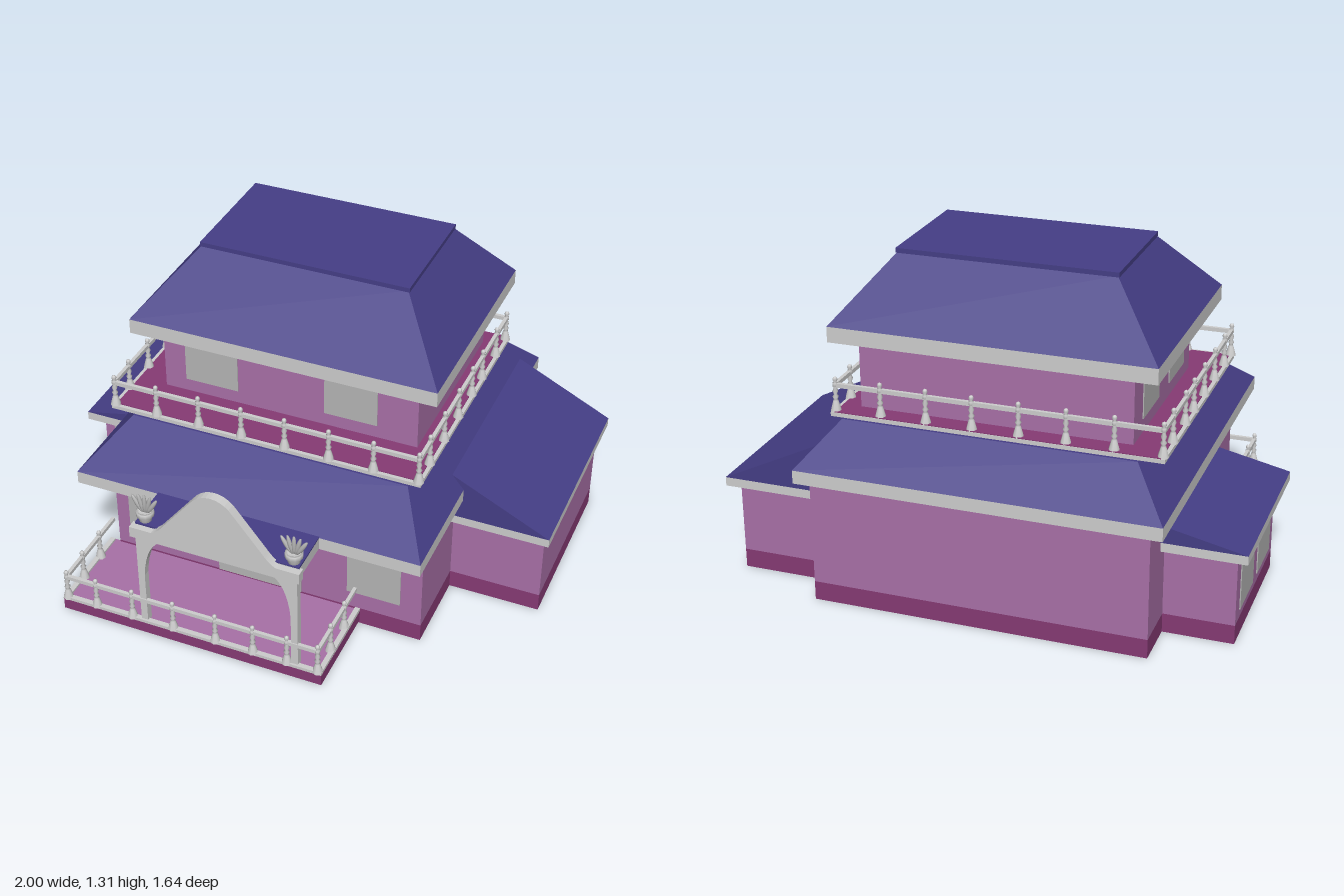
import * as THREE from 'three';

const mat = (name, color, side = THREE.FrontSide) => {
  const m = new THREE.MeshStandardMaterial({ color, side });
  m.name = name;
  return m;
};

export function createModel() {
  const house = new THREE.Group();
  house.name = 'house';
  const roofBlue = mat('roof blue', 0x453e86);
  const wallPink = mat('wall pink', 0xa870a7);
  const baseMagenta = mat('base magenta', 0x863a74);
  const trim = mat('pale trim', 0xcdcdcd);
  const glass = mat('window grey', 0xb4b4b4);

  const add = (name, geo, material, parent = house) => {
    const m = new THREE.Mesh(geo, material);
    m.name = name;
    parent.add(m);
    return m;
  };
  // Box given by its limits
  const box = (name, m, x0, x1, y0, y1, z0, z1, parent) => {
    const b = add(name, new THREE.BoxGeometry(x1 - x0, y1 - y0, z1 - z0), m, parent);
    b.position.set((x0 + x1) / 2, (y0 + y1) / 2, (z0 + z1) / 2);
    return b;
  };
  // Sloped block: rectangle [x0,x1,z0,z1] at y0 to another rectangle at y1
  const hip = (name, m, y0, a, y1, b) => {
    const g = new THREE.BoxGeometry(1, 1, 1);
    const p = g.attributes.position;
    for (let i = 0; i < p.count; i++) {
      const top = p.getY(i) > 0;
      const r = top ? b : a;
      p.setXYZ(i, p.getX(i) < 0 ? r[0] : r[1], top ? y1 : y0, p.getZ(i) < 0 ? r[2] : r[3]);
    }
    g.computeVertexNormals();
    return add(name, g, m);
  };
  // Eaves board with a blue soffit under it
  const eaves = (name, y0, y1, [x0, x1, z0, z1]) => {
    box(name, trim, x0, x1, y0, y1, z0, z1);
    box(name + 'Soffit', roofBlue, x0 + 0.015, x1 - 0.015, y0 - 0.003, y0 + 0.003, z0 + 0.015, z1 - 0.015);
  };
  // Wall with a dark plinth
  const walls = (name, x0, x1, top, z0, z1) => {
    box(name + 'Plinth', baseMagenta, x0, x1, 0, 0.075, z0, z1);
    box(name + 'Walls', wallPink, x0, x1, 0.075, top, z0, z1);
  };

  // Ground floor and its two wings
  walls('main', -0.685, 0.605, 0.49, -0.785, 0.425);
  walls('leftWing', 0.6, 0.97, 0.375, -0.64, 0.085);
  walls('rightWing', -0.953, -0.68, 0.36, -0.59, 0.02);

  // Lower roofs
  const lower = [-0.737, 0.655, -0.82, 0.608];
  eaves('lowerEaves', 0.488, 0.54, lower);
  hip('lowerRoof', roofBlue, 0.54, lower, 0.7, [-0.6, 0.52, -0.665, 0.39]);
  eaves('leftWingEaves', 0.37, 0.405, [0.605, 1, -0.7, 0.138]);
  hip('leftWingRoof', roofBlue, 0.405, [0.5, 1, -0.7, 0.138], 0.6, [0.5, 0.6, -0.7, 0.138]);
  eaves('rightWingEaves', 0.355, 0.39, [-1, -0.685, -0.645, 0.077]);
  hip('rightWingRoof', roofBlue, 0.39, [-1, -0.67, -0.645, 0.077], 0.458, [-0.685, -0.67, -0.645, 0.077]);

  // Upper floor, balcony deck and top roof
  box('balconyDeck', trim, -0.695, 0.567, 0.703, 0.718, -0.66, 0.385);
  box('balconyFloor', baseMagenta, -0.68, 0.552, 0.714, 0.721, -0.657, 0.37);
  box('upperWalls', wallPink, -0.56, 0.48, 0.7, 0.99, -0.58, 0.185);
  const upper = [-0.66, 0.575, -0.645, 0.265];
  eaves('upperEaves', 0.985, 1.045, upper);
  hip('upperRoof', roofBlue, 1.045, upper, 1.292, [-0.455, 0.37, -0.455, 0.035]);
  box('roofCap', roofBlue, -0.462, 0.377, 1.288, 1.306, -0.46, 0.04);

  // Windows and door as thin plates
  const frontPane = (name, x0, x1, y0, y1, z) => box(name, glass, x0, x1, y0, y1, z - 0.002, z + 0.004);
  frontPane('frontDoor', -0.24, 0.112, 0.075, 0.44, 0.425);
  frontPane('frontWindow', -0.63, -0.41, 0.15, 0.4, 0.425);
  frontPane('frontWindow', 0.303, 0.52, 0.15, 0.4, 0.425);
  frontPane('upperWindow', -0.47, -0.25, 0.775, 0.962, 0.185);
  frontPane('upperWindow', 0.107, 0.32, 0.775, 0.962, 0.185);
  frontPane('wingWindow', -0.91, -0.727, 0.155, 0.315, 0.02);
  const sidePane = (name, x, y0, y1, z0, z1) => box(name, glass, x - 0.004, x + 0.002, y0, y1, z0, z1);
  sidePane('wingSideWindow', -0.953, 0.11, 0.32, -0.53, -0.32);
  sidePane('wingSideWindow', -0.953, 0.11, 0.32, -0.25, -0.04);
  sidePane('upperSideWindow', -0.56, 0.775, 0.962, -0.47, -0.26);
  sidePane('upperSideWindow', -0.56, 0.775, 0.962, -0.12, 0.09);

  // Turned balusters with finials
  const profile = [[0.021, 0], [0.019, 0.008], [0.010, 0.04], [0.007, 0.045], [0.012, 0.055], [0.006, 0.064],
    [0.011, 0.078], [0.006, 0.092], [0.010, 0.097], [0.010, 0.109], [0.005, 0.112], [0.010, 0.122], [0.007, 0.130], [0, 0.134]]
    .map(([r, y]) => new THREE.Vector2(r, y));
  const balusterGeo = new THREE.LatheGeometry(profile, 8);
  const baluster = (x, y, z) => add('baluster', balusterGeo, trim).position.set(x, y, z);
  const rail = (x0, x1, y, z0, z1) =>
    box('handrail', trim, x0 - 0.007, x1 + 0.007, y, y + 0.016, z0 - 0.007, z1 + 0.007);

  // Balcony railing on all four sides
  const [bx0, bx1, bz0, bz1] = [-0.683, 0.555, -0.637, 0.373];
  for (let i = 0; i < 8; i++) {
    const x = bx0 + (bx1 - bx0) * i / 7;
    baluster(x, 0.718, bz0);
    baluster(x, 0.718, bz1);
  }
  for (const z of [0.257, 0.1, -0.06, -0.217, -0.34, -0.51]) {
    baluster(bx0, 0.718, z);
    baluster(bx1, 0.718, z);
  }
  for (const z of [bz0, bz1]) rail(bx0, bx1, 0.811, z, z);
  for (const x of [bx0, bx1]) rail(x, x, 0.811, bz0, bz1);

  // Porch floor and railing
  box('porchBase', baseMagenta, -0.727, 0.357, 0.015, 0.062, 0.42, 0.808);
  box('porchFloor', wallPink, -0.722, 0.352, 0.06, 0.067, 0.42, 0.803);
  box('porchCurb', trim, -0.727, 0.357, 0.06, 0.075, 0.788, 0.808);
  for (const x of [-0.717, 0.347]) box('porchCurb', trim, x - 0.01, x + 0.01, 0.06, 0.075, 0.425, 0.808);
  for (const x of [-0.712, -0.585, -0.43, -0.257, -0.08, 0.075, 0.214, 0.338]) baluster(x, 0.068, 0.797);
  for (const x of [-0.712, 0.338]) {
    for (const z of [0.673, 0.54]) baluster(x, 0.068, z);
    rail(x, x, 0.163, 0.425, 0.797);
  }
  rail(-0.712, 0.338, 0.163, 0.797, 0.797);

  // Porch canopy
  const cx = -0.065;
  box('canopyEdge', trim, cx - 0.328, cx + 0.328, 0.49, 0.538, 0.58, 0.79);
  box('canopyRoof', roofBlue, cx - 0.328, cx + 0.328, 0.535, 0.543, 0.58, 0.79);
  box('canopySoffit', roofBlue, cx - 0.31, cx + 0.31, 0.487, 0.492, 0.6, 0.78);

  // Rounded gable board
  const gable = new THREE.Shape();
  gable.moveTo(-0.34, 0.49);
  gable.lineTo(0.34, 0.49);
  gable.lineTo(0.34, 0.535);
  gable.lineTo(0.25, 0.535);
  gable.quadraticCurveTo(0.225, 0.545, 0.2, 0.58);
  gable.lineTo(0.085, 0.725);
  gable.bezierCurveTo(0.04, 0.79, -0.04, 0.79, -0.085, 0.725);
  gable.lineTo(-0.2, 0.58);
  gable.quadraticCurveTo(-0.225, 0.545, -0.25, 0.535);
  gable.lineTo(-0.34, 0.535);
  gable.closePath();
  const gableGeo = new THREE.ExtrudeGeometry(gable, { depth: 0.036, bevelEnabled: false, curveSegments: 10 });
  add('porchGable', gableGeo, trim).position.set(cx, 0, 0.78);

  // Posts with curved brackets, and planters above them
  const cup = [[0, 0], [0.022, 0], [0.024, 0.035], [0.034, 0.045], [0.034, 0.064], [0.026, 0.064], [0.024, 0.055], [0, 0.055]]
    .map(([r, y]) => new THREE.Vector2(r, y));
  for (const s of [-1, 1]) {
    const post = new THREE.Shape();
    post.moveTo(s * 0.325, 0.065);
    post.lineTo(s * 0.325, 0.495);
    post.lineTo(s * 0.2, 0.495);
    post.quadraticCurveTo(s * 0.285, 0.47, s * 0.298, 0.3);
    post.lineTo(s * 0.298, 0.065);
    post.closePath();
    const postGeo = new THREE.ExtrudeGeometry(post, { depth: 0.03, bevelEnabled: false, curveSegments: 8 });
    add('porchPost', postGeo, trim).position.set(cx, 0, 0.77);

    const planter = new THREE.Group();
    planter.name = 'planter';
    planter.position.set(cx + s * 0.298, 0.522, 0.763);
    house.add(planter);
    add('pot', new THREE.LatheGeometry(cup, 12), trim, planter);
    // Fan of upright leaves
    for (let i = -2; i <= 2; i++) {
      const leafGeo = new THREE.SphereGeometry(1, 8, 6);
      leafGeo.scale(0.009, 0.042, 0.008);
      leafGeo.translate(0, 0.04, 0);
      const leaf = add('leaf', leafGeo, glass, planter);
      leaf.position.set(i * 0.005, 0.056, 0);
      leaf.rotation.z = -i * 0.27;
    }
  }
  return house;
}
